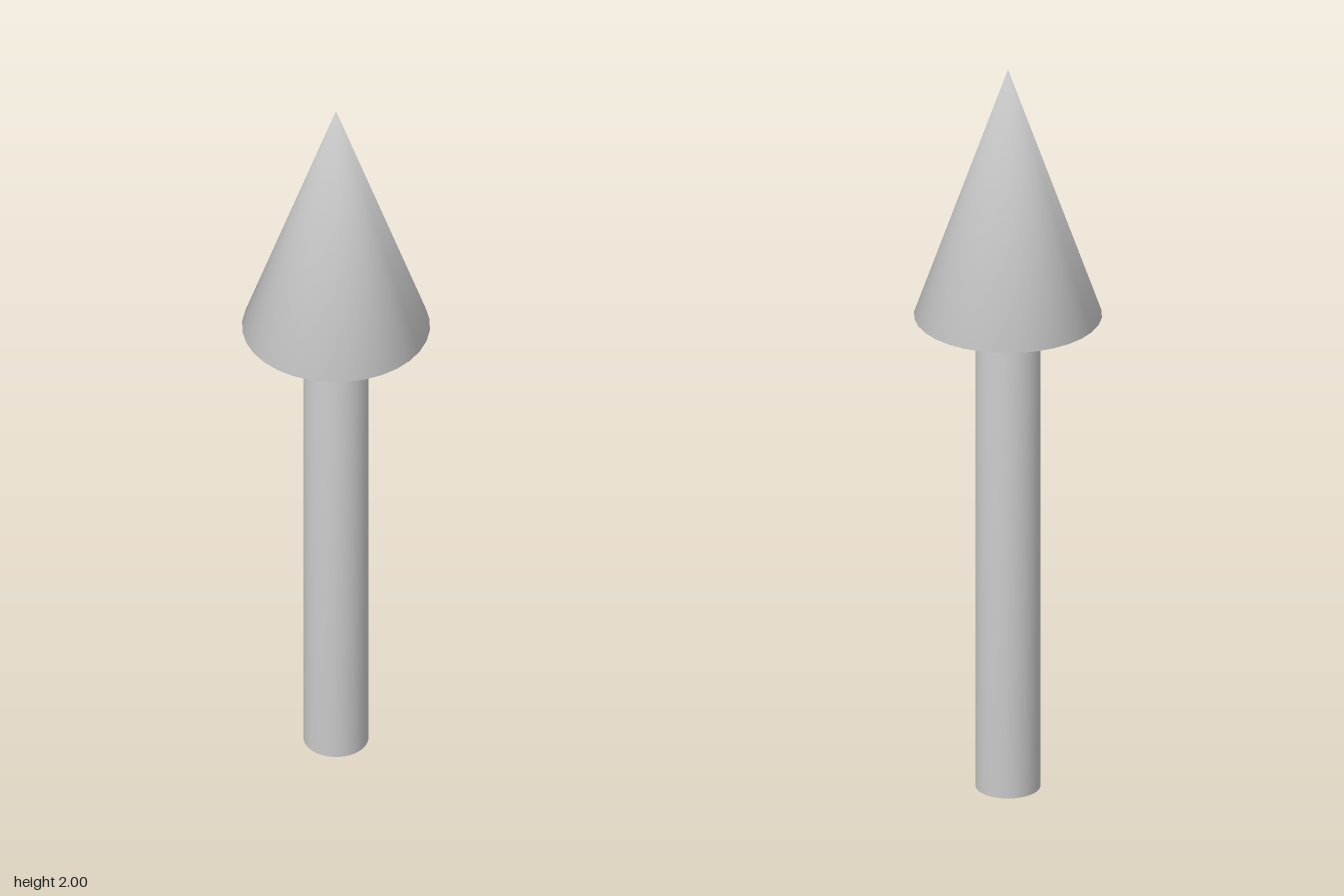
import * as THREE from 'three';
import { mergeVertices } from 'three/addons/utils/BufferGeometryUtils.js';

const SIDES = 32;
const NECK = 1.315; // height where the head meets the shaft

// Weld sides and caps so the shading runs smoothly over the rims
function weld(geometry) {
  geometry.deleteAttribute('uv');
  geometry.deleteAttribute('normal');
  const welded = mergeVertices(geometry, 1e-4);
  welded.computeVertexNormals();
  return welded;
}

export function createModel() {
  const group = new THREE.Group();
  group.name = 'arrow';
  const material = new THREE.MeshStandardMaterial({ color: 0xcccccc });

  const add = (name, geometry, y) => {
    const mesh = new THREE.Mesh(weld(geometry), material);
    mesh.name = name;
    mesh.position.y = y;
    group.add(mesh);
  };

  // Straight round shaft, standing on the ground
  add('shaft', new THREE.CylinderGeometry(0.083, 0.083, NECK, SIDES), NECK / 2);

  // Pointed conical head with a closed underside
  const headHeight = 2 - NECK;
  add('head', new THREE.ConeGeometry(0.24, headHeight, SIDES), NECK + headHeight / 2);

  return group;
}
